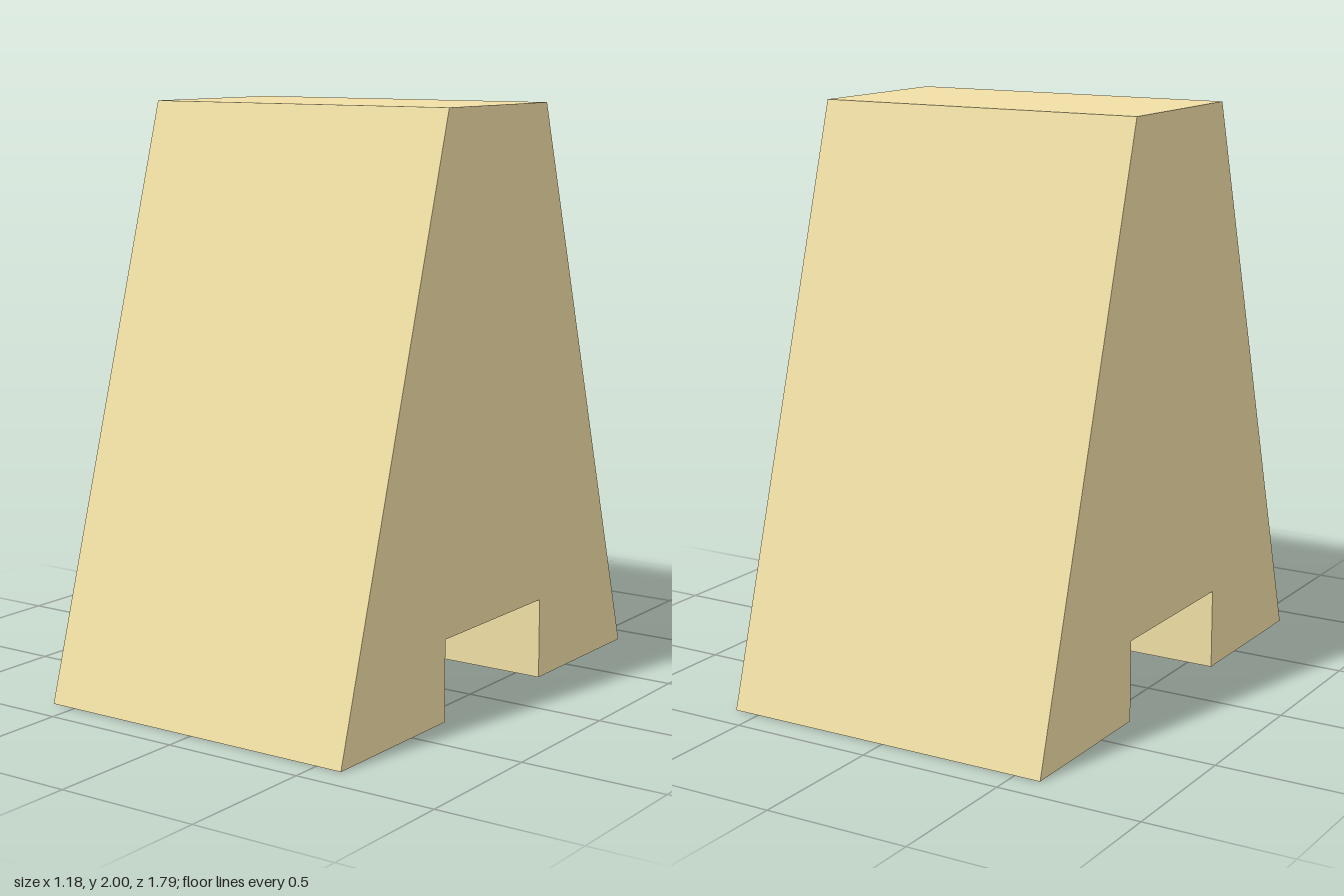
import * as THREE from 'three';

export function createModel() {
  const group = new THREE.Group();
  const width = 1.185;

  // Half of the side profile, from the notch out to the foot and up to the top
  const half = [[0.305, 0.28], [0.305, 0], [0.895, 0], [0.305, 2]];
  const mirrored = half.map(([z, y]) => [-z, y]).reverse();
  const profile = new THREE.Shape([...half, ...mirrored].map(([z, y]) => new THREE.Vector2(z, y)));

  // Tapered block with a notch running across its base
  const geometry = new THREE.ExtrudeGeometry(profile, { depth: width, bevelEnabled: false });
  geometry.translate(0, 0, -width / 2);
  geometry.rotateY(Math.PI / 2);

  const material = new THREE.MeshStandardMaterial({ color: 0xf0dea4 });
  const block = new THREE.Mesh(geometry, material);
  block.name = 'notchedTaperedBlock';
  group.add(block);
  return group;
}
